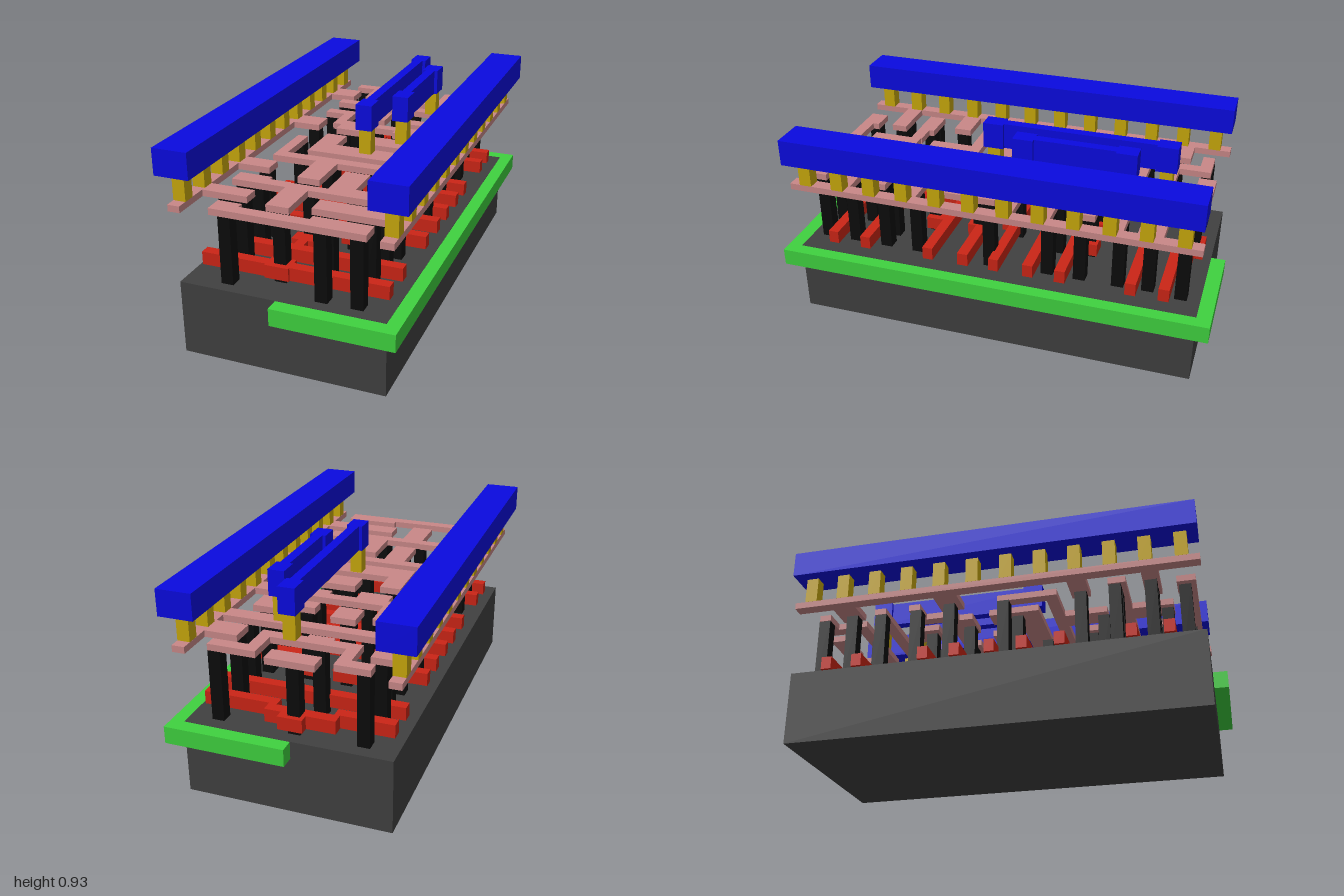
import * as THREE from 'three';

const material = (color) => new THREE.MeshStandardMaterial({ color, flatShading: true });

export function createModel() {
  const model = new THREE.Group();
  const mats = {
    base: material(0x404040), well: material(0x3fd23f), gate: material(0xcc2516),
    contact: material(0x0c0c0c), lower: material(0xc98888), via: material(0xc8a80c),
    upper: material(0x0a0ae0),
  };

  // Each layer is a named group of boxes sharing one height range
  function layer(name, mat, y0, y1, rects) {
    const group = new THREE.Group();
    group.name = name;
    for (const [x0, x1, z0, z1] of rects) {
      const mesh = new THREE.Mesh(new THREE.BoxGeometry(x1 - x0, y1 - y0, z1 - z0), mat);
      mesh.position.set((x0 + x1) / 2, (y0 + y1) / 2, (z0 + z1) / 2);
      mesh.name = name + 'Part';
      group.add(mesh);
    }
    model.add(group);
  }
  const square = (size) => ([x, z]) => [x - size / 2, x + size / 2, z - size / 2, z + size / 2];

  // Substrate block and the well set flush into its top
  layer('substrate', mats.base, 0, 0.34, [[-0.46, 0.46, -0.935, 0.935]]);
  layer('well', mats.well, 0.26, 0.339, [[-0.02, 0.52, -1, 1]]);

  // Gate strips crossing the block, with jogs and contact pads
  const fullGates = [-0.638, -0.173, 0.305, 0.618, 0.78].map((z) => [-0.425, 0.425, z - 0.024, z + 0.024]);
  layer('gateStrips', mats.gate, 0.365, 0.425, [
    ...fullGates,
    [-0.425, -0.165, -0.808, -0.76], [-0.19, 0.125, -0.86, -0.81], [-0.19, -0.165, -0.86, -0.76],
    [0.09, 0.425, -0.808, -0.76], [0.09, 0.125, -0.86, -0.76], [-0.06, 0.05, -0.9, -0.81],
    [-0.425, -0.155, -0.345, -0.297], [-0.2, -0.155, -0.4, -0.297], [-0.2, -0.015, -0.405, -0.355],
    [-0.13, -0.015, -0.44, -0.355], [0.08, 0.425, -0.345, -0.297], [0.08, 0.17, -0.43, -0.3],
    [-0.425, 0.425, -0.035, 0.01], [-0.035, 0.075, -0.035, 0.06],
    [-0.425, 0.425, 0.11, 0.16], [0.085, 0.17, 0.11, 0.2],
    [0.055, 0.17, 0.29, 0.41], [-0.125, -0.015, 0.48, 0.55], [-0.09, -0.045, 0.305, 0.62],
    [-0.125, -0.015, 0.73, 0.815],
  ]);

  // Contact posts between the block or gates and the first metal
  const posts = [
    [-0.265, 0.855], [0.16, 0.855], [0.315, 0.855],
    [-0.34, 0.71], [-0.265, 0.71], [0.13, 0.71], [0.315, 0.71], [-0.065, 0.76],
    [-0.34, 0.55], [-0.265, 0.55], [0.215, 0.55], [0.315, 0.55], [-0.065, 0.46],
    [-0.31, 0.39], [0.11, 0.38], [0.315, 0.39],
    [-0.15, 0.0], [-0.15, 0.06], [0.13, 0.15], [-0.31, 0.03], [0.33, 0.03], [0.053, -0.02],
    [-0.34, -0.22], [-0.1, -0.19], [0.13, -0.24], [0.315, -0.24],
    [-0.315, -0.39], [-0.07, -0.39], [0.113, -0.39], [0.315, -0.39],
    [-0.315, -0.565], [0.315, -0.565],
    [-0.335, -0.7], [-0.06, -0.68], [0.31, -0.7],
    [-0.315, -0.85], [-0.015, -0.85], [0.33, -0.85],
  ];
  layer('contactPosts', mats.contact, 0.34, 0.661, posts.map(square(0.055)));

  // First metal: supply strips with their inward branches
  layer('supplyStrips', mats.lower, 0.66, 0.69, [
    [-0.49, -0.435, -0.935, 0.935], [0.43, 0.487, -0.935, 0.935],
    [-0.46, -0.305, -0.765, -0.655], [0.28, 0.46, -0.765, -0.655],
    [-0.46, -0.3, -0.275, -0.165], [0.36, 0.46, -0.275, -0.19],
    [0.2, 0.46, -0.105, -0.025], [0.2, 0.46, -0.595, -0.52],
    [-0.46, -0.28, 0.345, 0.43], [0.28, 0.46, 0.345, 0.445],
    [-0.46, -0.225, 0.675, 0.75], [0.07, 0.46, 0.665, 0.755],
  ]);

  // First metal: signal wiring
  layer('rearWiring', mats.lower, 0.66, 0.69, [
    [-0.345, -0.19, -0.875, -0.82], [-0.245, -0.19, -0.875, -0.675], [-0.245, 0.2, -0.73, -0.675],
    [-0.115, 0.0, -0.73, -0.655], [0.145, 0.2, -0.875, -0.675], [0.145, 0.36, -0.875, -0.82],
    [-0.125, 0.09, -0.91, -0.83], [-0.345, 0.375, -0.595, -0.54],
    [-0.345, -0.195, -0.425, -0.37], [-0.245, -0.195, -0.425, -0.22], [-0.245, 0.37, -0.275, -0.225],
    [-0.2, -0.05, -0.275, -0.155], [0.08, 0.37, -0.275, -0.19],
    [-0.13, -0.015, -0.46, -0.345], [0.08, 0.355, -0.4, -0.335], [0.215, 0.355, -0.455, -0.335],
    [0.0, 0.21, -0.105, 0.0],
  ]);
  layer('frontWiring', mats.lower, 0.66, 0.69, [
    [-0.21, -0.11, -0.07, 0.17], [-0.21, 0.18, 0.06, 0.17],
    [-0.335, -0.285, 0, 0.28], [-0.335, 0.25, 0.225, 0.28],
    [0.24, 0.355, 0.205, 0.28], [0.305, 0.355, 0, 0.28],
    [-0.12, -0.015, 0.28, 0.48], [-0.12, -0.015, 0.55, 0.79],
    [0.055, 0.17, 0.35, 0.53], [0.085, 0.14, 0.5, 0.6],
    [-0.375, -0.12, 0.545, 0.6], [-0.375, -0.22, 0.52, 0.6], [-0.12, 0.06, 0.55, 0.6],
    [0.055, 0.37, 0.52, 0.6],
    [-0.32, -0.21, 0.82, 0.905], [-0.32, 0.365, 0.85, 0.905], [0.105, 0.365, 0.82, 0.905],
  ]);

  // Vias: a row under each rail and one under each end of the bridges
  const vias = [[0.057, -0.705], [0.057, 0.093], [0.171, -0.547], [0.171, -0.083]];
  for (let i = 0; i < 12; i++) {
    const z = -0.858 + i * 0.156;
    vias.push([-0.462, z], [0.459, z]);
  }
  layer('vias', mats.via, 0.69, 0.81, vias.map(square(0.057)));

  // Second metal: two wide rails and two narrow bridges with square ends
  layer('powerRails', mats.upper, 0.81, 0.93, [
    [-0.542, -0.382, -0.935, 0.935], [0.38, 0.54, -0.935, 0.935],
  ]);
  const bridge = (x, z0, z1) => [
    [x - 0.022, x + 0.022, z0, z1],
    [x - 0.038, x + 0.038, z0, z0 + 0.095], [x - 0.038, x + 0.038, z1 - 0.095, z1],
  ];
  layer('bridges', mats.upper, 0.81, 0.93, [...bridge(0.057, -0.752, 0.14), ...bridge(0.171, -0.595, -0.035)]);

  return model;
}
